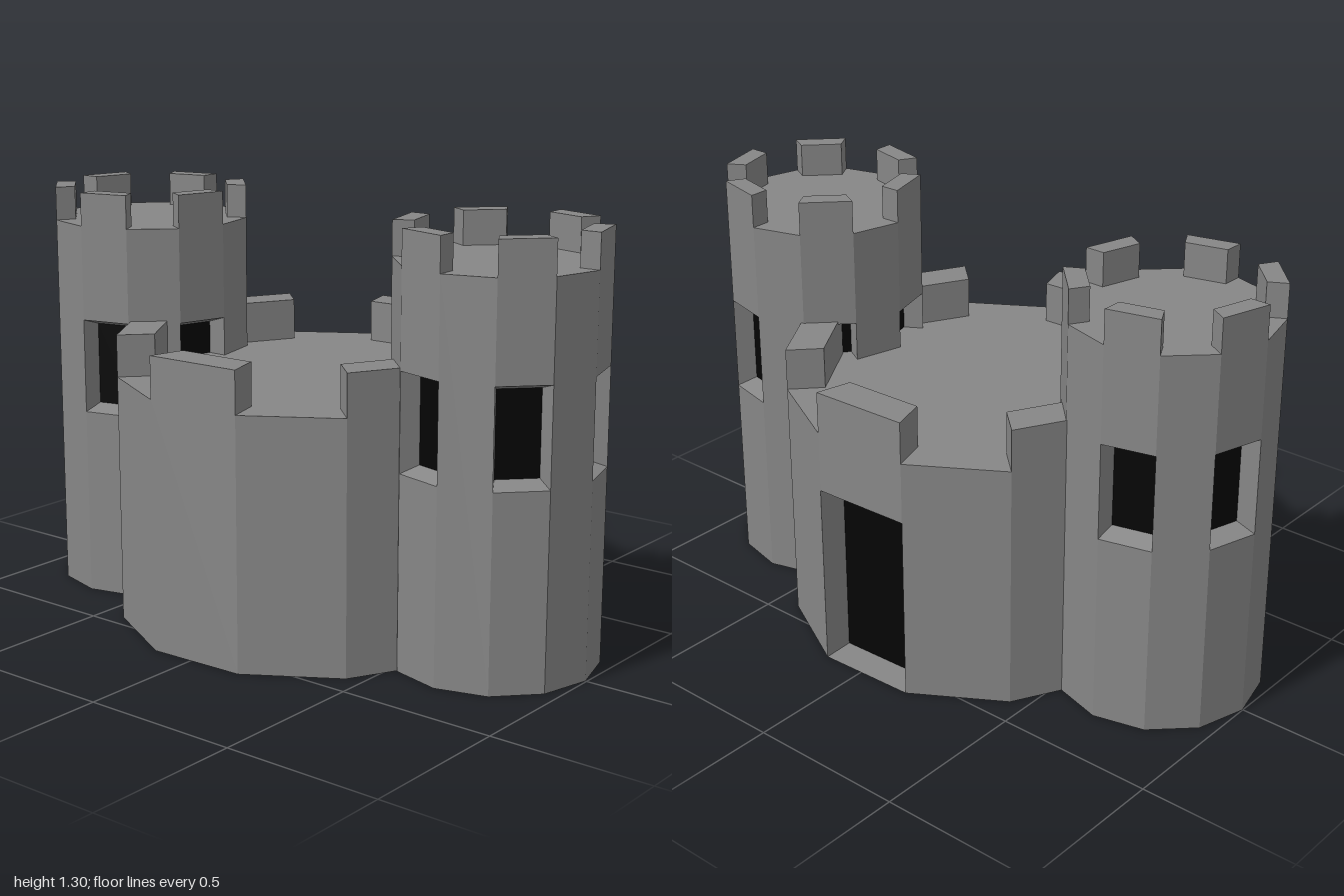
import * as THREE from 'three';

const stone = new THREE.MeshStandardMaterial({ color: 0x868686, flatShading: true });
const dark = new THREE.MeshStandardMaterial({ color: 0x050505, flatShading: true });
const SIDES = 12, STEP = 360 / SIDES;

// Point on a ring; the angle turns from +x towards +z
function ring(r, deg, y) {
  const a = THREE.MathUtils.degToRad(deg);
  return new THREE.Vector3(r * Math.cos(a), y, r * Math.sin(a));
}

// Outward facing panel between two angles
function panel(r, a, b, y0, y1) {
  return [ring(r, a, y0), ring(r, a, y1), ring(r, b, y1), ring(r, b, y0)];
}

// Mesh made of flat polygons, each given by its corners in order
function polyMesh(name, polys, material) {
  const points = [];
  for (const p of polys)
    for (let i = 1; i < p.length - 1; i++) points.push(p[0], p[i], p[i + 1]);
  const g = new THREE.BufferGeometry().setFromPoints(points);
  g.computeVertexNormals();
  const mesh = new THREE.Mesh(g, material);
  mesh.name = name;
  return mesh;
}

// Four faces joining an outer panel to an inner one
function reveal(outer, inner) {
  return outer.map((p, i) => {
    const j = (i + 1) % 4;
    return [p, outer[j], inner[j], inner[i]];
  });
}

// Window narrows towards the middle, door goes straight in
function windowInner(r, a, b, y0, y1) {
  return panel(r * 0.8, a, b, y0 + 0.02, y1 - 0.02);
}
function doorInner(r, a, b, y0, y1) {
  const shift = ring(0.1, (a + b) / 2, 0);
  return panel(r, a, b, y0, y1).map(p => p.sub(shift));
}

// Twelve sided body with merlons on every other side
function battlement({ name, x, z, r, start, height, top, inset, opening, isOpen }) {
  const group = new THREE.Group();
  group.name = name;
  group.position.set(x, 0, z);
  const walls = [], roof = [], base = [];
  for (let i = 0; i < SIDES; i++) {
    const a = start + i * STEP, b = a + STEP;
    base.push(ring(r, a, 0));
    roof.unshift(ring(r, a, height));

    // Wall, with an opening where there is one
    if (isOpen(i)) {
      const { y0, y1, inner, label } = opening;
      const back = inner(r, a, b, y0, y1);
      if (y0 > 0) walls.push(panel(r, a, b, 0, y0));
      walls.push(panel(r, a, b, y1, height));
      walls.push(...reveal(panel(r, a, b, y0, y1), back));
      group.add(polyMesh(label, [back], dark));
    } else {
      walls.push(panel(r, a, b, 0, height));
    }

    // Merlon
    if (i % 2 === 0) {
      const outer = panel(r, a, b, height, top);
      const inner = panel(r * inset, a, b, height, top);
      const sides = reveal(outer, inner).map(q => q.reverse());
      group.add(polyMesh('merlon', [outer, inner.slice().reverse(), ...sides], stone));
    }
  }
  group.add(polyMesh('wall', [...walls, roof, base], stone));
  return group;
}

export function createModel() {
  const castle = new THREE.Group();
  castle.name = 'castle';

  // Wide keep with one doorway on its +x side
  castle.add(battlement({
    name: 'keep', x: -0.002, z: 0, r: 0.612, start: -17, height: 0.777, top: 0.908, inset: 0.81,
    opening: { y0: 0, y1: 0.585, inner: doorInner, label: 'door' },
    isOpen: i => i === 0,
  }));

  // Tall towers, windows below each merlon
  const tower = {
    x: -0.004, r: 0.315, height: 1.2, top: 1.305, inset: 0.8,
    opening: { y0: 0.6, y1: 0.9, inner: windowInner, label: 'window' },
    isOpen: i => i % 2 === 0,
  };
  castle.add(battlement({ ...tower, name: 'frontTower', z: 0.681, start: -1 }));
  castle.add(battlement({ ...tower, name: 'backTower', z: -0.684, start: 31 }));
  return castle;
}
